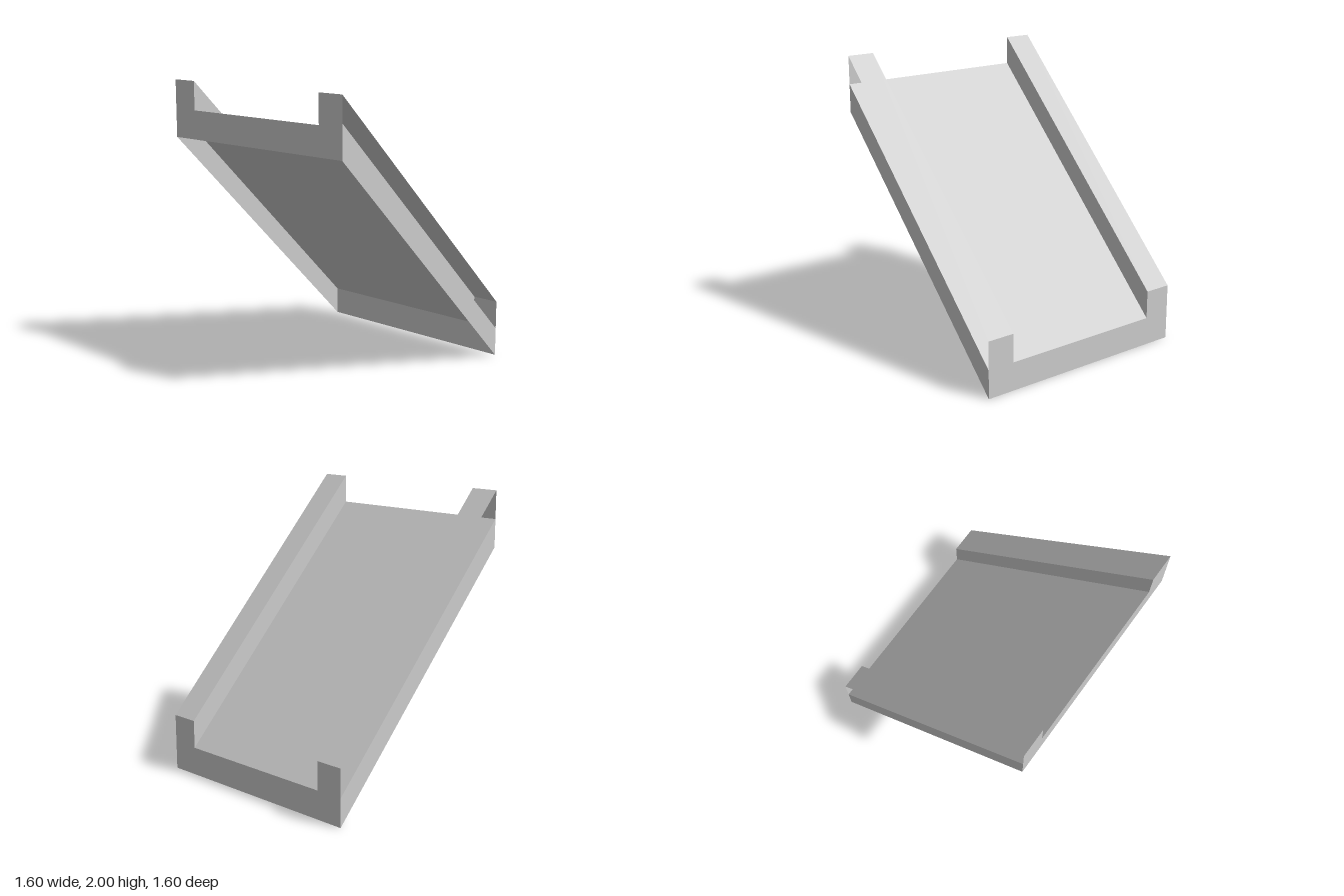
import * as THREE from 'three';

const HALF = 0.8;   // half width and half depth
const INNER = 0.6;  // inner edge of the rails
const FLOOR = 0.2;  // floor height above the lower edge
const RAIL = 0.4;   // rail height above the lower edge

// Flat panel: a cross-section line from p to q swept up the 45 degree slope.
function slopedPanel(p, q) {
  const rise = 2 * HALF;
  const a = [p[0], p[1] + rise, HALF], b = [q[0], q[1] + rise, HALF];
  const c = [q[0], q[1], -HALF], d = [p[0], p[1], -HALF];
  const geometry = new THREE.BufferGeometry();
  geometry.setAttribute('position', new THREE.Float32BufferAttribute([a, b, c, a, c, d].flat(), 3));
  geometry.computeVertexNormals();
  return geometry;
}

export function createModel() {
  const group = new THREE.Group();
  group.name = 'slopedChannel';
  const grey = new THREE.MeshStandardMaterial({ color: 0xcccccc, side: THREE.DoubleSide });
  grey.name = 'lightGrey';

  const add = (name, geometry) => {
    const mesh = new THREE.Mesh(geometry, grey);
    mesh.name = name;
    group.add(mesh);
    return mesh;
  };

  // Floor sheet, open underneath
  add('floor', slopedPanel([-HALF, FLOOR], [HALF, FLOOR]));

  // Rails, open on their outer side, above the side skirts
  for (const [side, s] of [['left', 1], ['right', -1]]) {
    const panel = (name, p, q) => add(side + name, s > 0 ? slopedPanel(p, q) : slopedPanel(q, p));
    panel('RailTop', [s * INNER, RAIL], [s * HALF, RAIL]);
    panel('RailInnerWall', [s * INNER, FLOOR], [s * INNER, RAIL]);
    panel('Skirt', [s * HALF, FLOOR], [s * HALF, 0]);
  }

  // U-shaped end plates
  const profile = new THREE.Shape([
    [-HALF, 0], [HALF, 0], [HALF, RAIL], [INNER, RAIL],
    [INNER, FLOOR], [-INNER, FLOOR], [-INNER, RAIL], [-HALF, RAIL],
  ].map(([x, y]) => new THREE.Vector2(x, y)));
  const endPlate = new THREE.ShapeGeometry(profile);
  add('frontEndPlate', endPlate).position.set(0, 2 * HALF, HALF);
  const back = add('backEndPlate', endPlate);
  back.position.z = -HALF;
  back.rotation.y = Math.PI;

  return group;
}
